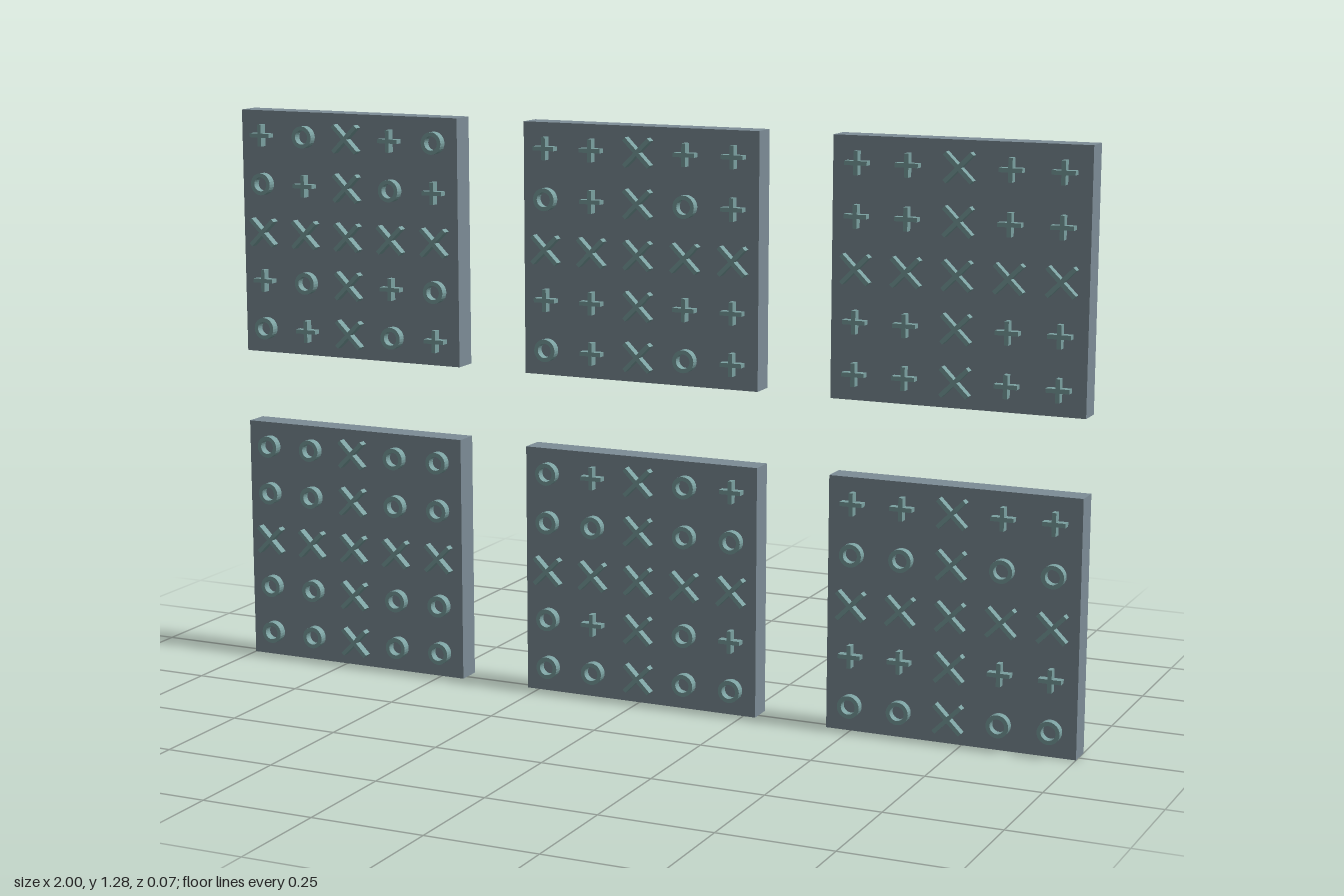
import * as THREE from 'three';

const SIZE = 0.556, PITCH = 0.722, STEP = 0.111;
const BACK = -0.037, FRONT = 0.0185, RELIEF = 0.0185;
const OUTER = 0.025, INNER = 0.016, SEGMENTS = 24;

// 2x2 symbol tables (rows from the top), one per panel
const TABLES = [
  [['+o', 'o+'], ['++', 'o+'], ['++', '++']],
  [['oo', 'oo'], ['o+', 'oo'], ['++', 'oo']],
];

// Outline of a plus sign: four arms of half length l and half width w
function plusPoints(l, w, x = 0, y = 0) {
  const points = [];
  for (let i = 0; i < 4; i++) {
    const a = i * Math.PI / 2, c = Math.cos(a), s = Math.sin(a);
    for (const [px, py] of [[l, -w], [l, w], [w, w]]) {
      points.push(new THREE.Vector2(x + px * c - py * s, y + px * s + py * c));
    }
  }
  return points;
}

function circlePoints(r, x = 0, y = 0) {
  return Array.from({ length: SEGMENTS }, (_, i) => {
    const a = i / SEGMENTS * Math.PI * 2;
    return new THREE.Vector2(x + r * Math.cos(a), y + r * Math.sin(a));
  });
}

function extrude(shape, depth) {
  return new THREE.ExtrudeGeometry(shape, { depth, bevelEnabled: false });
}

export function createModel() {
  const model = new THREE.Group();
  const slabMaterial = new THREE.MeshStandardMaterial({ color: 0x7c8c96 });
  const symbolMaterial = new THREE.MeshStandardMaterial({ color: 0x7aa0a0 });

  // Raised symbols
  const ringShape = new THREE.Shape(circlePoints(OUTER));
  ringShape.holes.push(new THREE.Path(circlePoints(INNER)));
  const symbols = {
    '+': ['plusSymbol', extrude(new THREE.Shape(plusPoints(0.025, 0.0046)), RELIEF)],
    'o': ['ringSymbol', extrude(ringShape, RELIEF)],
    'x': ['crossSymbol', extrude(new THREE.Shape(plusPoints(0.0415, 0.0046)), RELIEF).rotateZ(Math.PI / 4)],
  };
  const slabGeometry = new THREE.BoxGeometry(SIZE, SIZE, FRONT - BACK - RELIEF);
  const coreGeometry = new THREE.CylinderGeometry(INNER, INNER, RELIEF, SEGMENTS).rotateX(Math.PI / 2);

  function add(parent, name, geometry, material, x, y, z) {
    const mesh = new THREE.Mesh(geometry, material);
    mesh.name = name;
    mesh.position.set(x, y, z);
    parent.add(mesh);
  }

  function createPanel(table) {
    const panel = new THREE.Group();
    panel.name = 'panel';
    add(panel, 'slab', slabGeometry, slabMaterial, 0, 0, (FRONT + BACK + RELIEF) / 2);

    // Back layer with the table sunk into it
    const h = SIZE / 2;
    const layer = new THREE.Shape([[-h, -h], [h, -h], [h, h], [-h, h]].map(p => new THREE.Vector2(...p)));
    for (let r = 0; r < 2; r++) {
      for (let c = 0; c < 2; c++) {
        const x = (c - 0.5) * 0.186, y = (0.5 - r) * 0.186;
        if (table[r][c] === '+') {
          layer.holes.push(new THREE.Path(plusPoints(0.025, 0.0046, x, y)));
        } else {
          layer.holes.push(new THREE.Path(circlePoints(OUTER, x, y)));
          add(panel, 'ringCore', coreGeometry, slabMaterial, x, y, BACK + RELIEF / 2);
        }
      }
    }
    add(panel, 'backLayer', extrude(layer, RELIEF), slabMaterial, 0, 0, BACK);

    // Front: the table repeated in four quarters, split by a band of crosses
    for (let r = 0; r < 5; r++) {
      for (let c = 0; c < 5; c++) {
        const kind = r === 2 || c === 2 ? 'x' : table[r % 3][c % 3];
        const [name, geometry] = symbols[kind];
        add(panel, name, geometry, symbolMaterial, (c - 2) * STEP, (2 - r) * STEP, FRONT);
      }
    }
    return panel;
  }

  TABLES.forEach((row, r) => row.forEach((table, c) => {
    const panel = createPanel(table);
    panel.position.set((c - 1) * PITCH, SIZE / 2 + (1 - r) * PITCH, 0);
    model.add(panel);
  }));
  return model;
}
